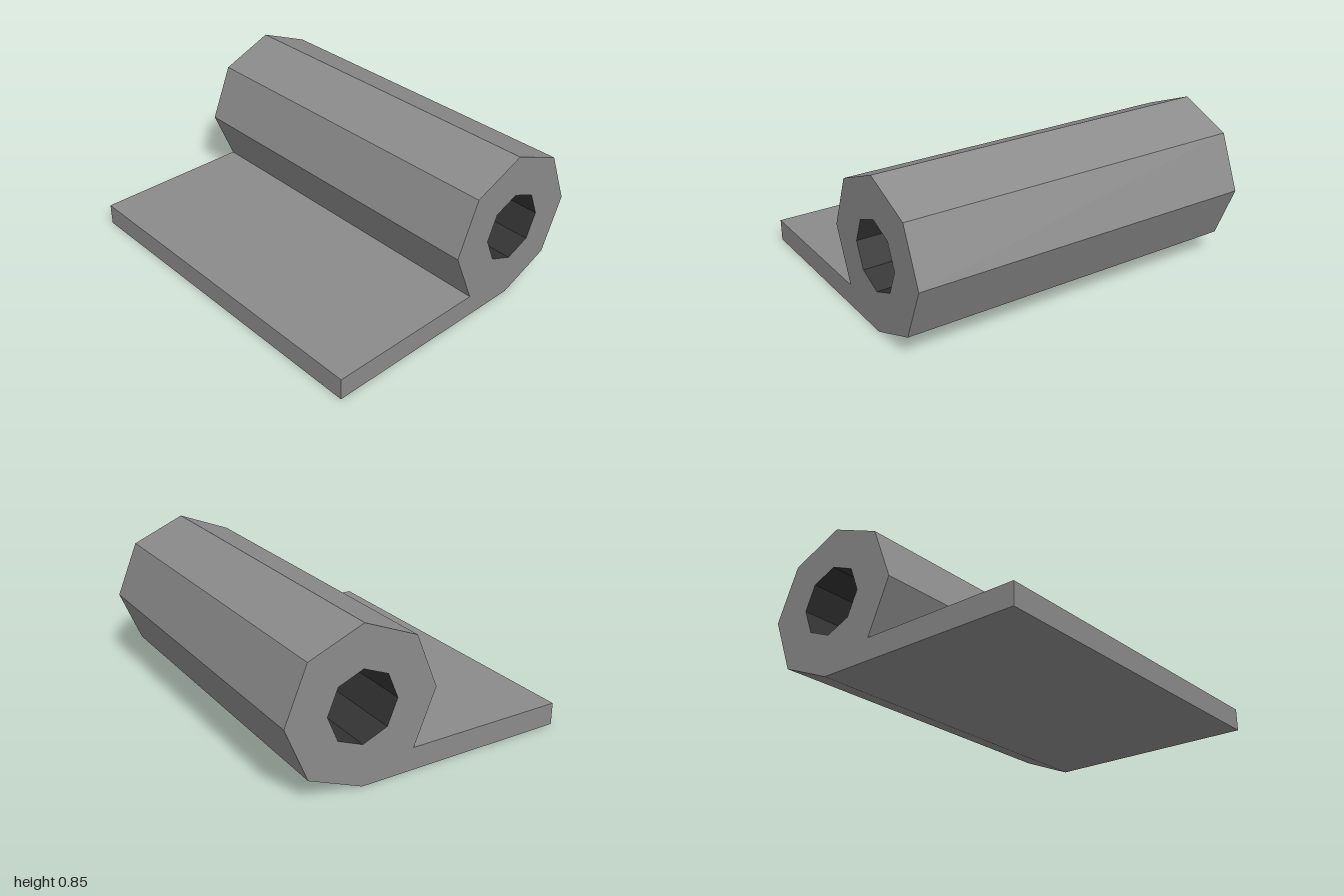
import * as THREE from 'three';

const SIDES = 8;
const RADIUS = 0.426;      // outer knuckle radius
const BORE = 0.197;        // pin hole radius
const CENTRE = 0.397;      // knuckle centre, measured towards the back
const LEAF_END = -0.823;   // front edge of the leaf
const LENGTH = 2;

// Corner k of an octagon around the knuckle centre, starting at the bottom
function corner(k, radius) {
  const a = -Math.PI / 2 + (k / SIDES) * Math.PI * 2;
  return new THREE.Vector2(CENTRE + radius * Math.cos(a), RADIUS + radius * Math.sin(a));
}

function material(name, color) {
  const m = new THREE.MeshStandardMaterial({ color });
  m.name = name;
  return m;
}

export function createModel() {
  const group = new THREE.Group();
  group.name = 'hingeLeaf';

  const grey = material('grey', 0x8b8b8b);
  const darkGrey = material('darkGrey', 0x333333);

  // Side profile: around the knuckle, then out along the flat leaf
  const outline = [];
  for (let k = 0; k < SIDES; k++) outline.push(corner(k, RADIUS));
  const leafTop = outline[SIDES - 1].y;
  outline.push(new THREE.Vector2(LEAF_END, leafTop), new THREE.Vector2(LEAF_END, 0));
  const profile = new THREE.Shape(outline);

  // Octagonal pin hole
  const hole = [];
  for (let k = 0; k < SIDES; k++) hole.push(corner(k, BORE));
  profile.holes.push(new THREE.Path(hole));

  // Extrude along the width and turn so the leaf points to the front
  const geometry = new THREE.ExtrudeGeometry(profile, { depth: LENGTH, bevelEnabled: false });
  geometry.translate(0, 0, -LENGTH / 2);
  geometry.rotateY(Math.PI / 2);

  // The hole walls come last, two triangles per side: these are dark
  const total = geometry.attributes.position.count;
  const boreCount = SIDES * 6;
  geometry.clearGroups();
  geometry.addGroup(0, total - boreCount, 0);
  geometry.addGroup(total - boreCount, boreCount, 1);

  const body = new THREE.Mesh(geometry, [grey, darkGrey]);
  body.name = 'knuckleAndLeaf';
  group.add(body);
  return group;
}
